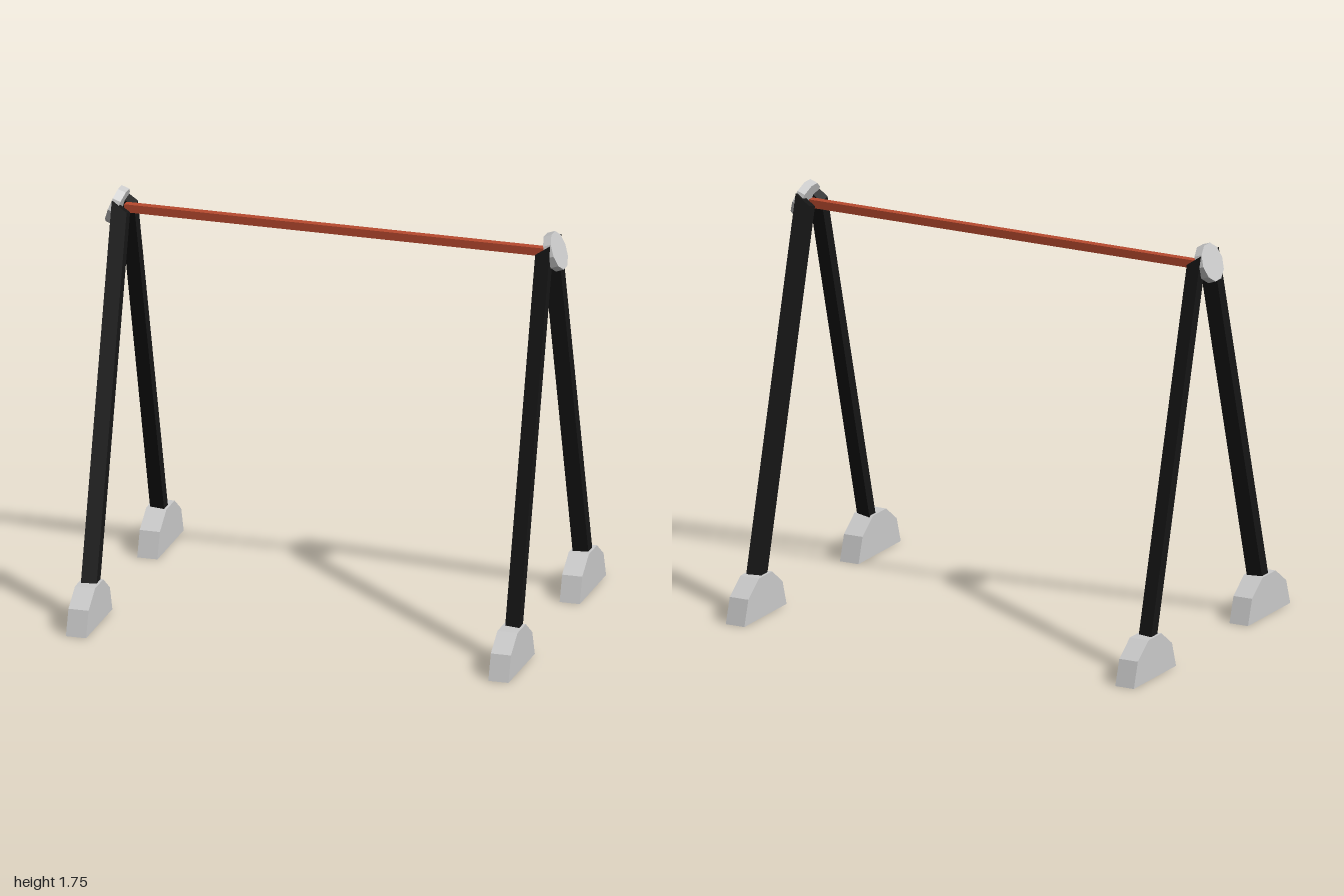
import * as THREE from 'three';

const mat = (color) => new THREE.MeshStandardMaterial({ color, flatShading: true });

export function createModel() {
  const group = new THREE.Group();
  const grey = mat(0xcccccc);
  const black = mat(0x161616);
  const red = mat(0xb84a2f);
  const hollow = mat(0xcccccc);
  hollow.side = THREE.DoubleSide;

  const add = (name, geometry, material, x, y, z) => {
    const mesh = new THREE.Mesh(geometry, material);
    mesh.name = name;
    mesh.position.set(x, y, z);
    group.add(mesh);
    return mesh;
  };

  // Half-decagon foot, open underneath
  const footGeo = new THREE.CylinderGeometry(0.186, 0.186, 0.088, 5, 1, false, 0, Math.PI);
  footGeo.rotateZ(Math.PI / 2);

  // Leaning leg; its ends slope up toward the outside of the frame
  const legGeometry = (sx, sz) => {
    const bottom = new THREE.Vector2(0.512, 0.07), top = new THREE.Vector2(0.055, 1.69);
    const run = top.clone().sub(bottom);
    const geo = new THREE.BoxGeometry(0.065, run.length(), 0.052);
    geo.rotateX(-sz * Math.atan2(-run.x, run.y));
    geo.translate(0, (bottom.y + top.y) / 2, sz * (bottom.x + top.x) / 2);
    const p = geo.attributes.position;
    for (let i = 0; i < p.count; i++) p.setY(i, p.getY(i) + 0.69 * sx * p.getX(i));
    geo.computeVertexNormals();
    return geo;
  };

  for (const sx of [-1, 1]) {
    const side = sx > 0 ? 'left' : 'right';
    for (const sz of [-1, 1]) {
      const end = sz > 0 ? 'Front' : 'Back';
      add(`${side}${end}Foot`, footGeo, hollow, sx * 0.922, 0, sz * 0.503);
      add(`${side}${end}Leg`, legGeometry(sx, sz), black, sx * 0.922, 0, sx > 0 ? -0.015 : 0);
    }
    // Tilted end cap over the joint
    const cap = add(`${side}Cap`, new THREE.CylinderGeometry(0.083, 0.083, 0.036, 10), grey,
      sx * 0.956, 1.673, -0.007);
    cap.rotation.z = -sx * THREE.MathUtils.degToRad(70);
  }

  // Crossbar
  add('crossbar', new THREE.BoxGeometry(1.85, 0.035, 0.033), red, 0, 1.664, -0.017);

  return group;
}
